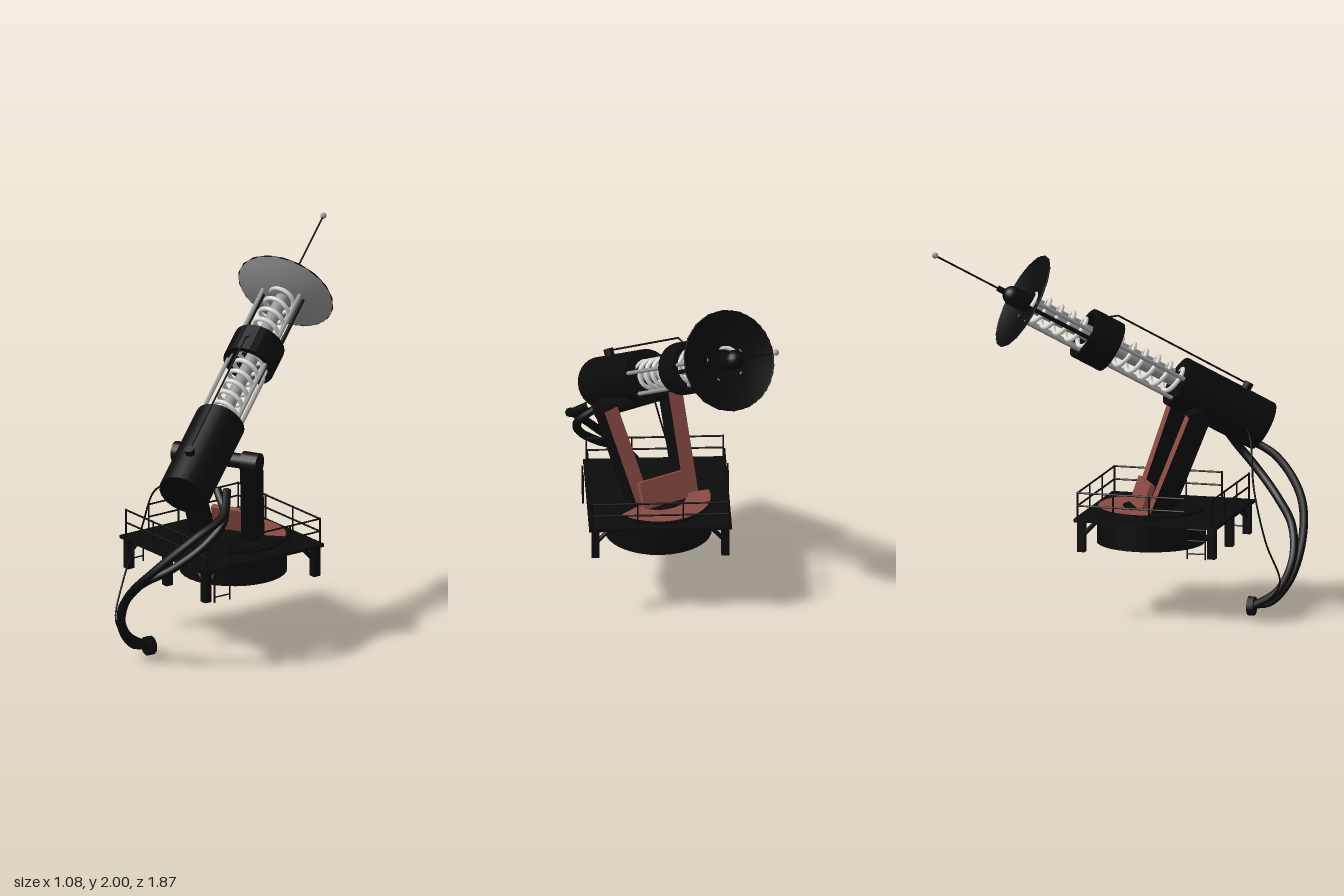
import * as THREE from 'three';

const mat = (name, color, side = THREE.FrontSide) => {
  const m = new THREE.MeshStandardMaterial({ color, side });
  m.name = name;
  return m;
};
const V = (x, y, z) => new THREE.Vector3(x, y, z);

export function createModel() {
  const black = mat('black metal', 0x0b0b0b);
  const red = mat('rust red', 0x8a4a44);
  const grey = mat('steel grey', 0x9a9a9a);
  const pale = mat('pale coil', 0xdcdcd8);

  const root = new THREE.Group();
  root.name = 'rayCannon';
  const add = (parent, name, geo, material, x = 0, y = 0, z = 0) => {
    const m = new THREE.Mesh(geo, material);
    m.name = name;
    m.position.set(x, y, z);
    parent.add(m);
    return m;
  };
  const box = (p, name, w, h, d, x, y, z, m = black) =>
    add(p, name, new THREE.BoxGeometry(w, h, d), m, x, y, z);
  const cyl = (p, name, r, y0, y1, x = 0, z = 0, m = black, sides = 24) =>
    add(p, name, new THREE.CylinderGeometry(r, r, y1 - y0, sides), m, x, (y0 + y1) / 2, z);
  // bar between two points
  const bar = (p, name, a, b, r, m = black, sides = 8) => {
    const mesh = add(p, name, new THREE.CylinderGeometry(r, r, a.distanceTo(b), sides), m);
    mesh.position.copy(a).add(b).multiplyScalar(0.5);
    mesh.quaternion.setFromUnitVectors(V(0, 1, 0), b.clone().sub(a).normalize());
    return mesh;
  };
  const tube = (p, name, pts, r, m = black, n = 60) =>
    add(p, name, new THREE.TubeGeometry(new THREE.CatmullRomCurve3(pts), n, r, 8), m);

  // Barrel frame: local y runs to the muzzle, x sideways, z to the upper side
  const aim = V(-0.42, 0.49, -0.76).normalize();
  const side = V(0.876, 0, -0.484).normalize();
  const upper = side.clone().cross(aim);
  const barrel = new THREE.Group();
  barrel.name = 'barrel';
  barrel.position.set(-0.28, 1.71, -0.505);
  barrel.quaternion.setFromRotationMatrix(new THREE.Matrix4().makeBasis(side, aim, upper));
  root.add(barrel);

  cyl(barrel, 'breechBody', 0.138, -1.5, -0.96, 0, 0, black, 28);
  const collar = [[0.112, -0.55], [0.142, -0.55], [0.142, -0.38], [0.112, -0.38], [0.112, -0.55]];
  const collarGeo = new THREE.LatheGeometry(collar.map(p => new THREE.Vector2(...p)), 24).toNonIndexed();
  collarGeo.computeVertexNormals();
  add(barrel, 'collar', collarGeo, black);
  cyl(barrel, 'core', 0.035, -1.0, -0.04, 0, 0, grey, 16);

  // Coil spring wound round the core
  const coil = [];
  const turns = 12.5;
  for (let i = 0; i <= 250; i++) {
    const f = i / 250, a = f * turns * Math.PI * 2;
    coil.push(V(0.073 * Math.cos(a), -0.98 + 0.95 * f, 0.073 * Math.sin(a)));
  }
  tube(barrel, 'coilSpring', coil, 0.0125, pale, 400);

  // Guide rods: four grey, two black
  for (const deg of [18, 162, -50, -130]) {
    const a = deg * Math.PI / 180;
    cyl(barrel, 'guideRod', 0.011, -1.0, -0.035, 0.113 * Math.cos(a), 0.113 * Math.sin(a), grey, 8);
  }
  for (const s of [1, -1])
    cyl(barrel, 'darkRod', 0.011, -0.55, -0.04, s * 0.116, -0.004, black, 8);

  // Dish: grey back, black face
  const dish = [];
  for (let i = 0; i <= 6; i++) {
    const r = 0.27 * i / 6;
    dish.push(new THREE.Vector2(r, -0.05 + 0.05 * (r / 0.27) ** 2));
  }
  add(barrel, 'dishBack', new THREE.LatheGeometry(dish, 18), grey);
  const face = dish.map(p => new THREE.Vector2(p.x, p.y + 0.006)).reverse();
  add(barrel, 'dishFace', new THREE.LatheGeometry(face, 18), black);
  add(barrel, 'dishRim', new THREE.TorusGeometry(0.268, 0.004, 6, 18).rotateX(Math.PI / 2), black, 0, 0.003, 0);

  // Emitter hub and aerial
  add(barrel, 'emitterHub', new THREE.CapsuleGeometry(0.052, 0.08, 6, 16), black, 0, 0.03, 0);
  cyl(barrel, 'aerialSocket', 0.016, 0.11, 0.16, 0, 0, black, 10);
  cyl(barrel, 'aerial', 0.005, 0.15, 0.555, 0, 0, black, 6);
  add(barrel, 'aerialTip', new THREE.SphereGeometry(0.017, 12, 8), grey, 0, 0.555, 0);

  // Sight wire along the upper side
  bar(barrel, 'sightKnob', V(0, -1.32, 0.1), V(0, -1.32, 0.172), 0.026, black, 12);
  bar(barrel, 'sightWire', V(0, -1.32, 0.162), V(0, -0.5, 0.166), 0.005);
  bar(barrel, 'sightWireEnd', V(0, -0.5, 0.166), V(0, -0.46, 0.138), 0.005);

  // Fork arms, with red rear faces
  const pivot = V(0.17, 1.06, 0.28);
  const foot = V(0.033, 0.5, 0.1);
  for (const s of [-1, 1]) {
    const top = pivot.clone().addScaledVector(side, s * 0.2);
    const low = foot.clone().addScaledVector(side, s * 0.14);
    const up = top.clone().sub(low).normalize();
    const fwd = side.clone().cross(up).normalize();
    const arm = box(root, 'forkArm', 0.085, top.distanceTo(low), 0.115, 0, 0, 0,
      [black, black, black, black, black, red]);
    arm.position.copy(top).add(low).multiplyScalar(0.5);
    arm.quaternion.setFromRotationMatrix(
      new THREE.Matrix4().makeBasis(up.clone().cross(fwd), up, fwd));
    bar(root, 'armHead', top.clone().addScaledVector(side, -0.048),
      top.clone().addScaledVector(side, 0.048), 0.057, black, 16);
  }
  bar(root, 'pivotPin', pivot.clone().addScaledVector(side, -0.2),
    pivot.clone().addScaledVector(side, 0.2), 0.04, black, 14);

  // Turntable: sloped red plate between the arms and red arc on the drum
  const mount = new THREE.Group();
  mount.name = 'turntable';
  mount.position.set(0.07, 0, 0.1);
  mount.rotation.y = Math.atan2(0.484, 0.876);
  root.add(mount);
  box(mount, 'slopedPlate', 0.27, 0.17, 0.03, 0, 0.62, -0.05, red).rotation.x = 0.35;
  add(mount, 'turntableArc', new THREE.RingGeometry(0.15, 0.28, 24, 1, Math.PI * 0.08, Math.PI * 0.84)
    .rotateX(-Math.PI / 2), red, 0, 0.569, 0);

  // Drum, open underneath
  const drum = [[0, 0.52], [0.255, 0.52], [0.255, 0.37], [0.287, 0.37], [0.287, 0.565], [0, 0.565]];
  const drumGeo = new THREE.LatheGeometry(drum.map(p => new THREE.Vector2(...p)), 32).toNonIndexed();
  drumGeo.computeVertexNormals();
  add(root, 'drum', drumGeo, black, 0.07, 0, 0.1);

  // Platform with legs and braces
  const cx = 0.07, cz = 0.175, half = 0.385;
  const platform = new THREE.Group();
  platform.name = 'platform';
  platform.position.set(cx, 0, cz);
  root.add(platform);
  box(platform, 'deck', 0.76, 0.018, 0.79, 0, 0.542, 0);
  for (const sx of [-1, 1]) for (const sz of [-1, 1]) {
    const x = sx * 0.345, z = sz * 0.36;
    box(platform, 'leg', 0.042, 0.175, 0.042, x, 0.457, z);
    bar(platform, 'brace', V(x, 0.45, z), V(x - sx * 0.08, 0.535, z), 0.012);
    bar(platform, 'brace', V(x, 0.45, z), V(x, 0.535, z - sz * 0.08), 0.012);
  }
  box(platform, 'frontLeg', 0.042, 0.175, 0.042, 0, 0.457, 0.36);

  // Handrails: front and back full width, sides leave a gap for ladders
  const rail = (a, b) => {
    for (const y of [0.62, 0.69])
      bar(platform, 'handrail', V(a.x, y, a.z), V(b.x, y, b.z), 0.005, black, 6);
    for (let i = 0; i <= 3; i++) {
      const p = a.clone().lerp(b, i / 3);
      bar(platform, 'railPost', V(p.x, 0.54, p.z), V(p.x, 0.695, p.z), 0.005, black, 6);
    }
  };
  const rx = 0.365;
  for (const z of [-0.378, 0.365]) rail(V(-rx, 0, z), V(rx, 0, z));
  for (const x of [-rx, rx]) rail(V(x, 0, -0.378), V(x, 0, 0.215));

  // Ladders on both sides
  for (const s of [-1, 1]) {
    const x = s * (half + 0.002);
    for (const z of [0.235, 0.335])
      bar(platform, 'ladderSide', V(x, 0.37, z), V(x, 0.54, z), 0.005, black, 6);
    for (const y of [0.4, 0.47, 0.53])
      bar(platform, 'ladderRung', V(x, y, 0.235), V(x, y, 0.335), 0.004, black, 6);
  }

  // Power cables hanging from the breech to the plug
  tube(root, 'cable', [V(0.42, 0.97, 0.40), V(0.515, 0.87, 0.5), V(0.505, 0.78, 0.67), V(0.38, 0.6, 0.84),
    V(0.2, 0.4, 0.9), V(0.1, 0.2, 0.86), V(0.075, 0.08, 0.76), V(0.07, 0.06, 0.66)], 0.023);
  tube(root, 'cable', [V(0.36, 0.96, 0.42), V(0.48, 0.84, 0.46), V(0.47, 0.72, 0.57), V(0.37, 0.58, 0.72),
    V(0.22, 0.46, 0.84), V(0.11, 0.3, 0.87), V(0.065, 0.14, 0.8), V(0.065, 0.05, 0.66)], 0.023);
  tube(root, 'thinWire', [V(0.24, 1.0, 0.57), V(0.11, 0.94, 0.64), V(0.03, 0.7, 0.68), V(-0.02, 0.42, 0.76),
    V(0.01, 0.2, 0.83), V(0.04, 0.1, 0.76), V(0.06, 0.06, 0.66)], 0.005);
  bar(root, 'plug', V(0.07, 0.052, 0.64), V(0.07, 0.052, 0.675), 0.052, black, 10);

  return root;
}
